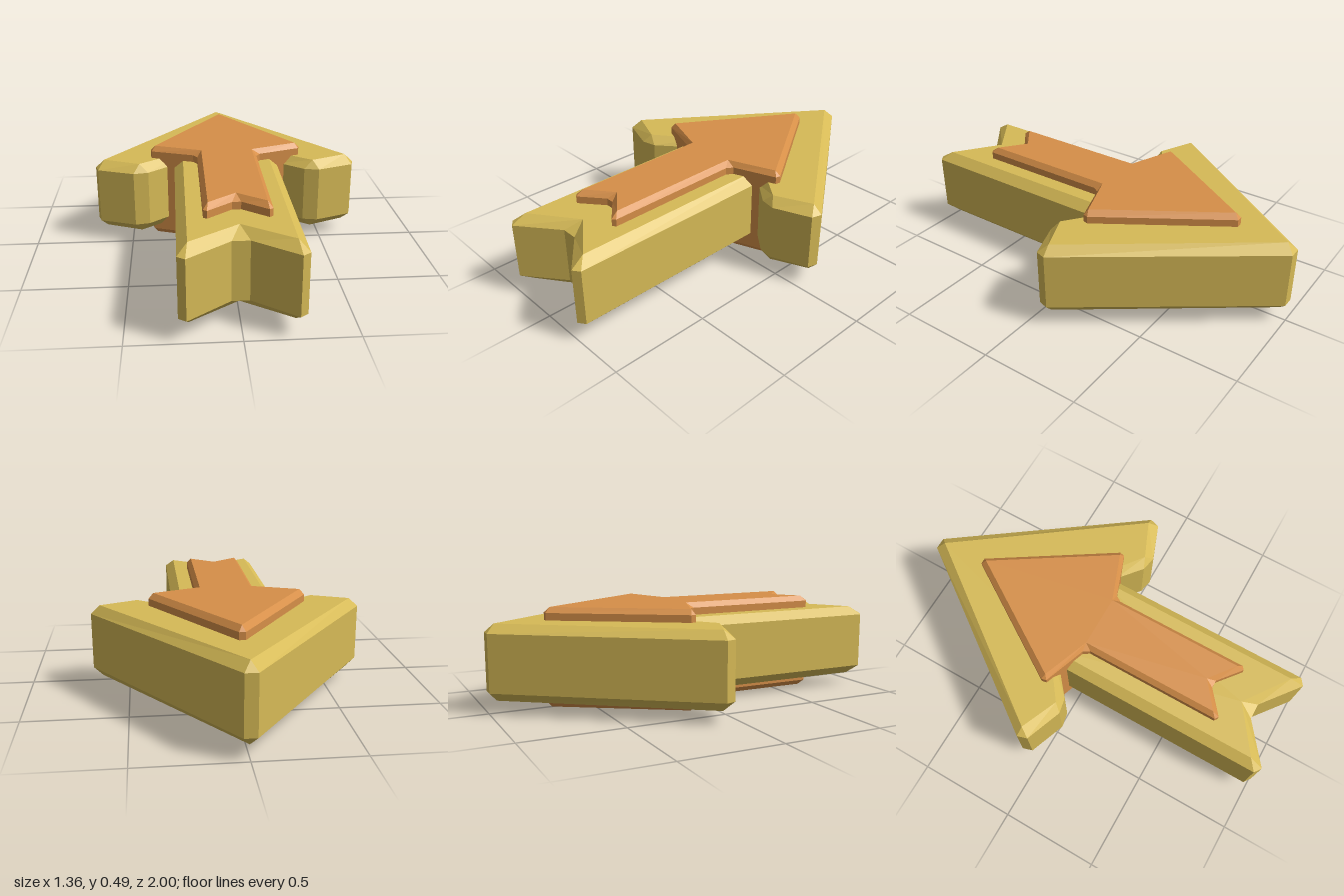
import * as THREE from 'three';

// Mirrors a half outline (tip to tail, x >= 0) into a closed loop.
function mirrorLoop(half) {
  return [...half, ...half.slice().reverse().map(([x, z]) => [-x, z])];
}

// Chamfered slab: face outline at top and bottom, wider outline between.
function chamferedSlab(faceHalf, wallHalf, [y0, y1, y2, y3]) {
  const face = mirrorLoop(faceHalf);
  const wall = mirrorLoop(wallHalf);
  const rings = [[face, y0], [wall, y1], [wall, y2], [face, y3]]
    .map(([loop, y]) => loop.map(([x, z]) => new THREE.Vector3(x, y, z)));
  const positions = [];
  const tri = (a, b, c) => {
    const area = b.clone().sub(a).cross(c.clone().sub(a)).length();
    if (area > 1e-7) for (const p of [a, b, c]) positions.push(p.x, p.y, p.z);
  };

  // Chamfers and walls
  const n = face.length;
  for (let r = 0; r < 3; r++) {
    for (let i = 0; i < n; i++) {
      const j = (i + 1) % n;
      const lo = rings[r], hi = rings[r + 1];
      tri(lo[i], hi[i], lo[j]);
      tri(lo[j], hi[i], hi[j]);
    }
  }

  // Flat top and bottom, without the doubled corners
  for (const [ring, up] of [[rings[0], -1], [rings[3], 1]]) {
    const pts = ring.filter((p, i) => p.distanceTo(ring[(i + 1) % n]) > 1e-5);
    const flat = pts.map((p) => new THREE.Vector2(p.x, p.z));
    for (const [a, b, c] of THREE.ShapeUtils.triangulateShape(flat, [])) {
      const A = pts[a], B = pts[b], C = pts[c];
      const ny = B.clone().sub(A).cross(C.clone().sub(A)).y;
      if (ny * up > 0) tri(A, B, C);
      else tri(A, C, B);
    }
  }

  const geometry = new THREE.BufferGeometry();
  geometry.setAttribute('position', new THREE.Float32BufferAttribute(positions, 3));
  geometry.computeVertexNormals();
  return geometry;
}

export function createModel() {
  const gold = new THREE.MeshStandardMaterial({ color: 0xd6ba56, flatShading: true });
  gold.name = 'gold';
  const orange = new THREE.MeshStandardMaterial({ color: 0xd68f48, flatShading: true });
  orange.name = 'orange';

  const group = new THREE.Group();
  group.name = 'arrow';

  // Broad arrow body with swept barbs and a notched tail
  const body = new THREE.Mesh(chamferedSlab(
    [[0, -0.96], [0.635, -0.09], [0.635, -0.09], [0.45, -0.01], [0.45, -0.01],
      [0.225, -0.18], [0.225, -0.18], [0.225, 0.93], [0.225, 0.93], [0, 0.77]],
    [[0.03, -1], [0.68, -0.095], [0.665, -0.045], [0.48, 0.025], [0.405, 0.01],
      [0.285, -0.09], [0.27, -0.09], [0.27, 0.975], [0.235, 1], [0.04, 0.848]],
    [0.06, 0.105, 0.388, 0.43],
  ), gold);
  body.name = 'arrowBody';

  // Narrow inlay arrow that passes right through the body
  const inlay = new THREE.Mesh(chamferedSlab(
    [[0, -0.692], [0.368, -0.115], [0.368, -0.115], [0.13, -0.025],
      [0.13, -0.025], [0.13, 0.672], [0.13, 0.672], [0, 0.572]],
    [[0.015, -0.715], [0.392, -0.125], [0.386, -0.1], [0.172, -0.022],
      [0.152, 0.01], [0.152, 0.695], [0.135, 0.708], [0.02, 0.615]],
    [0, 0.026, 0.466, 0.492],
  ), orange);
  inlay.name = 'inlayArrow';

  group.add(body, inlay);
  return group;
}
